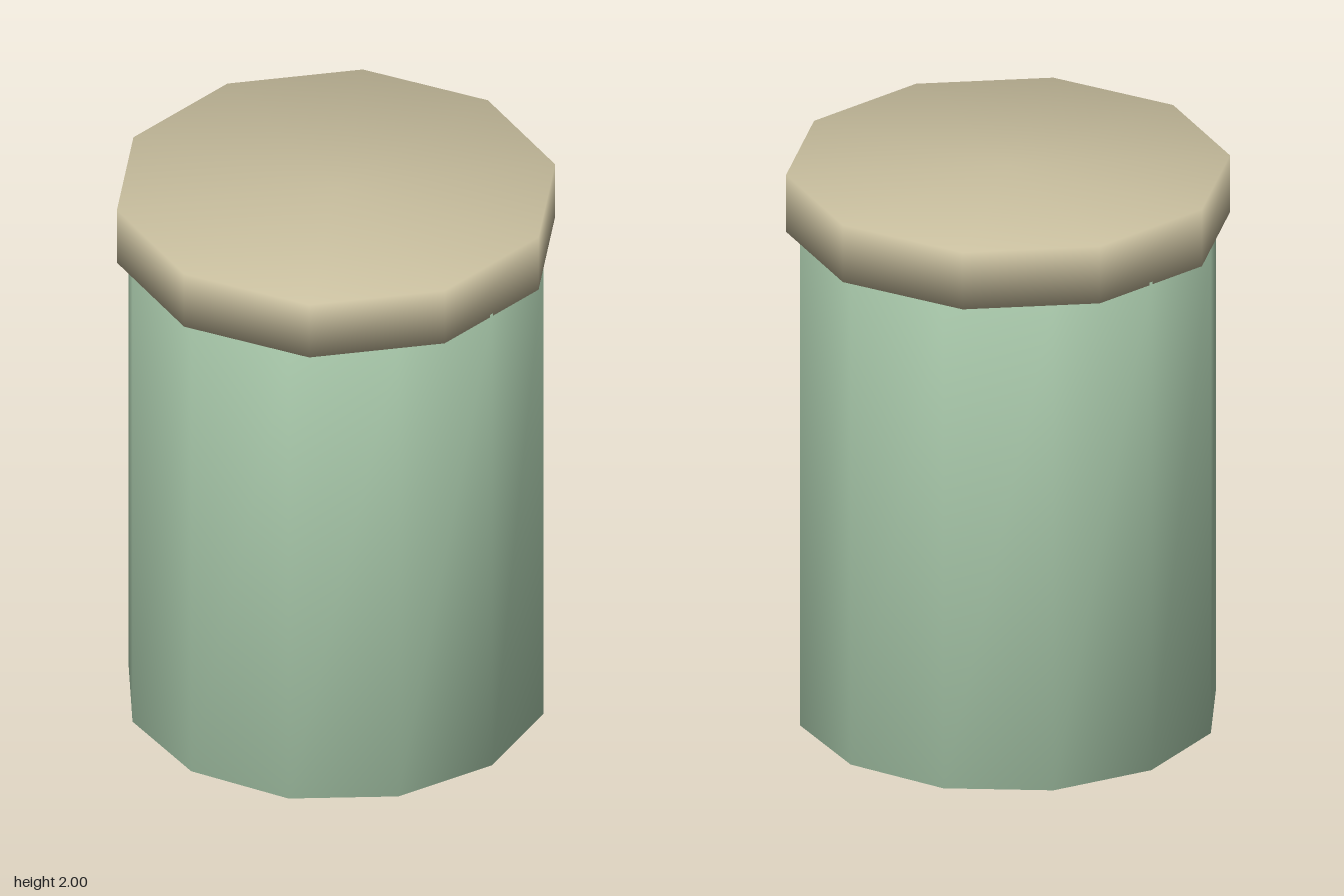
import * as THREE from 'three';
import { mergeVertices } from 'three/addons/utils/BufferGeometryUtils.js';

// Closed cylinder whose caps and wall share smooth normals
function smoothCylinder(radius, bottom, top, sides) {
  const source = new THREE.CylinderGeometry(radius, radius, top - bottom, sides);
  source.translate(0, (bottom + top) / 2, 0);
  source.deleteAttribute('normal');
  source.deleteAttribute('uv');
  const geometry = mergeVertices(source, 1e-4);
  geometry.clearGroups();
  geometry.computeVertexNormals();
  return geometry;
}

export function createModel() {
  const green = new THREE.MeshStandardMaterial({ color: 0xa8c8aa });
  green.name = 'sage green';
  const tan = new THREE.MeshStandardMaterial({ color: 0xc8be9e });
  tan.name = 'tan';

  const model = new THREE.Group();
  model.name = 'jar';

  // Twelve-sided jar body, tucked slightly into the lid
  const body = new THREE.Mesh(smoothCylinder(0.72, 0, 1.8, 12), green);
  body.name = 'body';

  // Ten-sided lid with a corner facing the front
  const lid = new THREE.Mesh(smoothCylinder(0.755, 1.79, 2, 10), tan);
  lid.name = 'lid';

  model.add(body, lid);
  return model;
}
